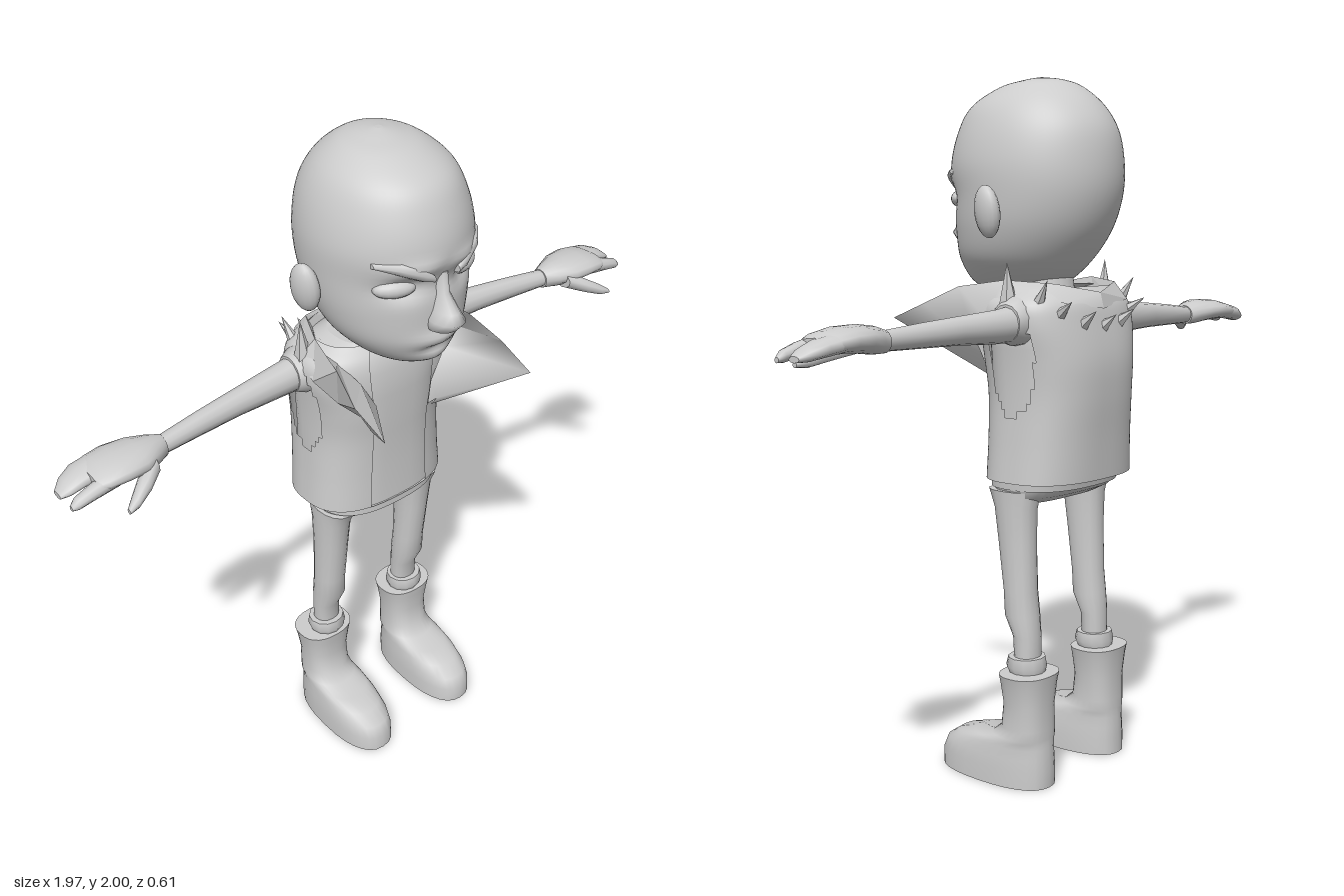
import * as THREE from 'three';

const clay = new THREE.MeshStandardMaterial({ color: 0xcccccc, side: THREE.DoubleSide });
clay.name = 'light grey';

// Rings of points around an upright axis (front/back extents) or along x
function ringY(y, x, zf, zb, rx, n = 2, seg = 24, a0 = 0) {
  const pts = [], p = 2 / n, cz = (zf + zb) / 2, rz = (zf - zb) / 2;
  const pw = v => Math.sign(v) * Math.pow(Math.abs(v), p);
  const count = a0 ? seg + 1 : seg;
  for (let i = 0; i < count; i++) {
    const a = a0 + (i / seg) * (2 * Math.PI - 2 * a0);
    pts.push(new THREE.Vector3(x + rx * pw(Math.sin(a)), y, cz + rz * pw(Math.cos(a))));
  }
  return pts;
}
function ringX(x, y, z, ry, rz, seg = 12) {
  return Array.from({ length: seg }, (_, i) => {
    const a = (i / seg) * 2 * Math.PI;
    return new THREE.Vector3(x, y + ry * Math.cos(a), z + rz * Math.sin(a));
  });
}

// Skin a list of rings, optionally closed, capped or with quads left out
function skin(rings, { closed = true, caps = true, skip = null } = {}) {
  const n = rings[0].length, pos = [], idx = [];
  rings.forEach(r => r.forEach(p => pos.push(p.x, p.y, p.z)));
  for (let i = 0; i < rings.length - 1; i++) {
    for (let j = 0; j < (closed ? n : n - 1); j++) {
      const k = (j + 1) % n;
      if (skip) {
        const m = rings[i][j].clone().add(rings[i + 1][k]).multiplyScalar(0.5);
        if (skip(m)) continue;
      }
      const a = i * n + j, b = i * n + k, c = b + n, d = a + n;
      idx.push(a, b, c, a, c, d);
    }
  }
  if (closed && caps) {
    [rings[0], rings[rings.length - 1]].forEach((ring, end) => {
      const base = pos.length / 3;
      const mid = ring.reduce((s, p) => s.add(p), new THREE.Vector3()).divideScalar(n);
      [...ring, mid].forEach(p => pos.push(p.x, p.y, p.z));
      for (let j = 0; j < n; j++) {
        const k = (j + 1) % n;
        idx.push(base + n, base + (end ? j : k), base + (end ? k : j));
      }
    });
  }
  const g = new THREE.BufferGeometry();
  g.setAttribute('position', new THREE.Float32BufferAttribute(pos, 3));
  g.setIndex(idx);
  g.computeVertexNormals();
  return g;
}

function mirrored(g) {
  const m = g.index ? g.clone() : g.clone().setIndex([...Array(g.attributes.position.count).keys()]);
  m.scale(-1, 1, 1);
  const ix = m.index.array;
  for (let i = 0; i < ix.length; i += 3) [ix[i], ix[i + 1]] = [ix[i + 1], ix[i]];
  m.computeVertexNormals();
  return m;
}

// Smoothly resample [y, zFront, zBack, halfWidth] rows
function resample(rows, count) {
  const a = new THREE.CatmullRomCurve3(rows.map(r => new THREE.Vector3(r[0], r[1], r[2])), false, 'catmullrom');
  const b = new THREE.CatmullRomCurve3(rows.map(r => new THREE.Vector3(r[3], 0, 0)), false, 'catmullrom');
  return Array.from({ length: count + 1 }, (_, i) => {
    const p = a.getPoint(i / count);
    return [p.x, p.y, p.z, Math.max(0.004, b.getPoint(i / count).x)];
  });
}

export function createModel() {
  const model = new THREE.Group();
  const add = (name, g) => {
    const m = new THREE.Mesh(g, clay);
    m.name = name;
    model.add(m);
  };
  const pair = (name, g) => { add('left' + name, g); add('right' + name, mirrored(g)); };
  const upright = (rows, x = 0, n = 2, seg = 24) => skin(rows.map(r => ringY(r[0], x, r[1], r[2], r[3], n, seg)));
  const sideways = (rows, seg = 12) => skin(rows.map(r => ringX(...r, seg)));
  const ellipsoid = (x, y, z, rx, ry, rz, turn = 0) =>
    new THREE.SphereGeometry(1, 16, 12).scale(rx, ry, rz).rotateY(turn).translate(x, y, z);

  // Head, with brow, eye sockets and muzzle pushed in or out of the face
  const headRows = [
    [1.39, 0.09, -0.01, 0.03], [1.405, 0.15, -0.06, 0.075], [1.44, 0.195, -0.13, 0.13],
    [1.5, 0.215, -0.19, 0.183], [1.58, 0.22, -0.245, 0.212], [1.67, 0.222, -0.277, 0.224],
    [1.76, 0.235, -0.283, 0.226], [1.85, 0.215, -0.268, 0.207], [1.92, 0.175, -0.225, 0.172],
    [1.97, 0.09, -0.165, 0.115], [1.99, 0.02, -0.115, 0.06], [2.0, -0.03, -0.05, 0.01]];
  const bumps = [ // x, y, spreadX, spreadY, amount
    [0.1, 1.665, 0.05, 0.028, -0.028], [0.08, 1.725, 0.06, 0.02, 0.014],
    [0, 1.665, 0.03, 0.03, -0.01], [0, 1.505, 0.07, 0.022, 0.016],
    [0, 1.472, 0.05, 0.008, -0.012], [0, 1.435, 0.05, 0.018, 0.01]];
  const head = skin(resample(headRows, 66).map(r => ringY(r[0], 0, r[1], r[2], r[3], 2, 64)));
  const hp = head.attributes.position;
  for (let i = 0; i < hp.count; i++) {
    const x = Math.abs(hp.getX(i)), y = hp.getY(i), z = hp.getZ(i);
    if (z < 0.03) continue;
    let d = 0;
    for (const [bx, by, sx, sy, amt] of bumps)
      d += amt * Math.exp(-(((x - bx) / sx) ** 2) - ((y - by) / sy) ** 2);
    hp.setZ(i, z + d);
  }
  head.computeVertexNormals();
  add('head', head);
  add('nose', upright([[1.528, 0.23, 0.18, 0.025], [1.543, 0.268, 0.17, 0.045], [1.57, 0.292, 0.16, 0.046],
    [1.595, 0.275, 0.16, 0.034], [1.64, 0.238, 0.16, 0.022], [1.7, 0.228, 0.16, 0.02]], 0, 2, 14));
  pair('Eye', ellipsoid(0.115, 1.665, 0.16, 0.058, 0.026, 0.03, 0.45));
  pair('Brow', sideways([[0.04, 1.695, 0.22, 0.012, 0.018], [0.07, 1.712, 0.213, 0.022, 0.024],
    [0.12, 1.732, 0.19, 0.02, 0.024], [0.175, 1.74, 0.135, 0.008, 0.02]], 8));
  const ear = ellipsoid(0, 0, 0, 0.03, 0.072, 0.045).rotateZ(-0.12).rotateY(-0.25);
  pair('Ear', ear.translate(0.243, 1.625, -0.045));
  add('neck', upright([[1.3, 0.05, -0.17, 0.12], [1.38, 0.03, -0.14, 0.09], [1.47, 0.04, -0.13, 0.085]]));

  // Shirt and open vest with armholes
  add('shirt', upright([[0.855, 0.05, -0.23, 0.203], [0.89, 0.05, -0.235, 0.205], [1.0, 0.045, -0.26, 0.206],
    [1.12, 0.048, -0.27, 0.2], [1.25, 0.055, -0.27, 0.205], [1.33, 0.05, -0.25, 0.215],
    [1.38, 0.035, -0.23, 0.19], [1.41, 0.01, -0.18, 0.12]], 0, 2.6, 40));
  const vestRows = resample([[0.88, 0.055, -0.268, 0.232], [1.0, 0.055, -0.275, 0.222],
    [1.12, 0.06, -0.284, 0.216], [1.22, 0.07, -0.284, 0.225], [1.32, 0.068, -0.266, 0.245],
    [1.38, 0.055, -0.248, 0.235], [1.42, 0.025, -0.21, 0.18]], 32);
  add('vest', skin(vestRows.map(r => ringY(r[0], 0, r[1], r[2], r[3], 2.6, 80, 0.36)), {
    closed: false,
    skip: m => ((m.z + 0.11) / 0.075) ** 2 + ((m.y - 1.22) / 0.155) ** 2 < 1 && Math.abs(m.x) > 0.1
  }));
  add('vestHem', skin([ringY(0.88, 0, 0.04, -0.22, 0.195, 2.6, 40), ringY(0.88, 0, 0.055, -0.268, 0.232, 2.6, 40)]
    .reverse(), { caps: false }));

  // Collar folding out to a long point on each side
  const v = (x, y, z) => new THREE.Vector3(x, y, z);
  const collarInner = [v(0.095, 1.17, 0.062), v(0.1, 1.25, 0.068), v(0.15, 1.34, 0.065),
    v(0.18, 1.39, 0), v(0.17, 1.395, -0.1), v(0.12, 1.39, -0.19), v(0, 1.375, -0.22)];
  const collarOuter = [v(0.12, 1.185, 0.075), v(0.26, 1.325, 0.3), v(0.262, 1.37, 0.18),
    v(0.235, 1.42, 0.07), v(0.2, 1.44, -0.07), v(0.135, 1.43, -0.2), v(0, 1.405, -0.25)];
  const collarBase = [v(0.11, 1.16, 0.06), v(0.15, 1.23, 0.06), v(0.21, 1.29, 0.04),
    v(0.242, 1.34, -0.03), v(0.235, 1.38, -0.1), v(0.15, 1.38, -0.235), v(0, 1.36, -0.262)];
  pair('Collar', skin([collarBase, collarOuter, collarInner], { closed: false }).toNonIndexed());

  // Spikes around the shoulders and upper back
  const spike = (p, dir, len, r) => {
    const g = new THREE.ConeGeometry(r, len, 6).toNonIndexed();
    g.computeVertexNormals();
    g.translate(0, len / 2 - 0.01, 0);
    g.applyQuaternion(new THREE.Quaternion().setFromUnitVectors(v(0, 1, 0), dir.normalize()));
    return g.translate(p.x, p.y, p.z);
  };
  pair('ShoulderSpike', spike(v(0.22, 1.38, -0.1), v(0.05, 1, 0), 0.12, 0.028));
  pair('RearShoulderSpike', spike(v(0.19, 1.375, -0.18), v(0.15, 0.9, -0.55), 0.09, 0.022));
  pair('OuterBackSpike', spike(v(0.155, 1.35, -0.23), v(0.25, 0.55, -0.8), 0.075, 0.02));
  pair('InnerBackSpike', spike(v(0.085, 1.325, -0.26), v(0.1, 0.6, -0.8), 0.065, 0.02));
  add('middleBackSpike', spike(v(0, 1.315, -0.265), v(0, 0.6, -0.8), 0.06, 0.02));

  // Arms and hands
  pair('Sleeve', sideways([[0.15, 1.33, -0.115, 0.07, 0.075], [0.225, 1.33, -0.115, 0.068, 0.068],
    [0.255, 1.325, -0.12, 0.052, 0.05]], 14));
  pair('Arm', sideways([[0.2, 1.325, -0.12, 0.052, 0.05], [0.3, 1.318, -0.12, 0.046, 0.043],
    [0.44, 1.315, -0.11, 0.038, 0.034], [0.56, 1.31, -0.1, 0.033, 0.03], [0.7, 1.303, -0.087, 0.026, 0.025]]));
  pair('Palm', sideways([[0.685, 1.303, -0.088, 0.03, 0.03], [0.72, 1.308, -0.083, 0.036, 0.05],
    [0.77, 1.314, -0.08, 0.036, 0.074], [0.83, 1.315, -0.082, 0.033, 0.08],
    [0.88, 1.31, -0.084, 0.028, 0.075], [0.905, 1.306, -0.084, 0.018, 0.062]], 16));
  pair('Fingers', sideways([[0.85, 1.313, -0.11, 0.026, 0.048], [0.92, 1.302, -0.112, 0.023, 0.046],
    [0.96, 1.29, -0.106, 0.018, 0.036], [0.985, 1.28, -0.1, 0.008, 0.018]]));
  pair('IndexFinger', sideways([[0.85, 1.308, -0.04, 0.024, 0.027], [0.92, 1.295, -0.037, 0.02, 0.022],
    [0.965, 1.283, -0.036, 0.016, 0.018], [0.982, 1.275, -0.036, 0.007, 0.008]], 10));
  pair('Thumb', sideways([[0.74, 1.298, -0.045, 0.025, 0.035], [0.79, 1.28, -0.005, 0.024, 0.03],
    [0.835, 1.26, 0.022, 0.018, 0.02], [0.865, 1.25, 0.037, 0.007, 0.008]], 10));

  // Hips, legs, socks and boots
  add('hips', upright([[0.815, -0.02, -0.15, 0.17], [0.835, 0.015, -0.19, 0.2], [0.87, 0.03, -0.21, 0.2]], 0, 3, 32));
  pair('Leg', upright([[0.34, -0.085, -0.155, 0.04], [0.43, -0.08, -0.155, 0.042], [0.49, -0.05, -0.15, 0.048],
    [0.56, -0.045, -0.143, 0.046], [0.7, -0.025, -0.14, 0.047], [0.8, -0.01, -0.143, 0.05],
    [0.85, 0.012, -0.155, 0.052]], 0.16, 2.2, 16));
  pair('Sock', upright([[0.32, -0.07, -0.17, 0.05], [0.345, -0.058, -0.175, 0.06], [0.372, -0.065, -0.17, 0.056]],
    0.162, 2, 12));
  pair('Boot', upright([[0, 0.178, -0.206, 0.09], [0.05, 0.176, -0.206, 0.09], [0.085, 0.16, -0.204, 0.087],
    [0.115, 0.115, -0.202, 0.083], [0.132, 0.05, -0.2, 0.08], [0.142, -0.02, -0.2, 0.077],
    [0.17, -0.055, -0.199, 0.073], [0.24, -0.064, -0.197, 0.073], [0.3, -0.058, -0.202, 0.083],
    [0.328, -0.055, -0.206, 0.09]], 0.168, 2.4, 28));
  return model;
}
